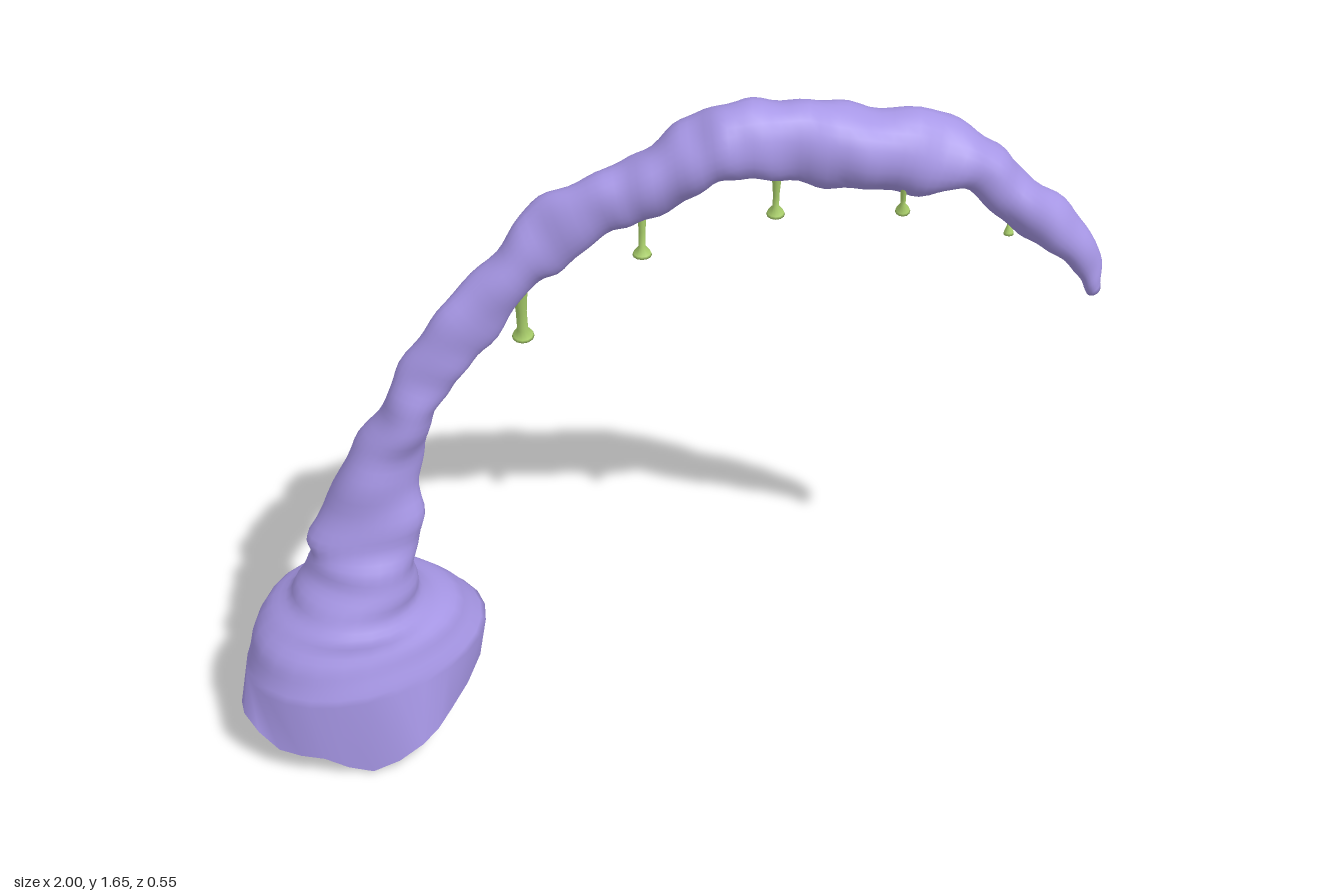
import * as THREE from 'three';

const SIDES = 26;
const RINGS = 140;
const V = (x, y, z) => new THREE.Vector3(x, y, z);

// Trunk sections: outer x,y, inner x,y, centre z, half depth
const SECTIONS = [
  [-.98, .21, -.435, .22, 0, .27],
  [-.95, .33, -.49, .31, .015, .22],
  [-.87, .41, -.56, .38, .05, .145],
  [-.82, .5, -.57, .48, .05, .105],
  [-.81, .58, -.555, .6, .035, .085],
  [-.72, .765, -.55, .75, .01, .08],
  [-.63, .9, -.51, .88, .02, .063],
  [-.575, 1.03, -.455, .98, .015, .048],
  [-.48, 1.17, -.38, 1.07, .005, .045],
  [-.36, 1.29, -.29, 1.19, -.02, .048],
  [-.27, 1.405, -.2, 1.25, -.04, .055],
  [-.14, 1.47, -.1, 1.345, -.043, .063],
  [-.03, 1.53, -.01, 1.37, -.048, .07],
  [.07, 1.605, .1, 1.44, -.052, .08],
  [.18, 1.64, .19, 1.475, -.053, .085],
  [.31, 1.63, .31, 1.44, -.09, .08],
  [.45, 1.6, .44, 1.41, -.11, .08],
  [.62, 1.565, .57, 1.385, -.14, .087],
  [.74, 1.49, .67, 1.4, -.15, .08],
  [.82, 1.41, .77, 1.3, -.153, .066],
  [.92, 1.325, .86, 1.23, -.163, .052],
  [.99, 1.21, .94, 1.16, -.172, .04],
  [1.0, 1.125, .97, 1.105, -.172, .032],
];

// Wavy open rim of the base, from +x round through +z
const RIM = [
  V(-.44, .13, -.04), V(-.5, .09, .12), V(-.56, .065, .22), V(-.68, 0, .245),
  V(-.79, .06, .27), V(-.9, .07, .25), V(-.985, .14, .2), V(-1, .1, .08),
  V(-.97, .045, -.03), V(-.89, .08, -.18), V(-.71, .15, -.275), V(-.54, .2, -.27),
  V(-.46, .17, -.17),
];

const spline = (points, closed = false) =>
  new THREE.CatmullRomCurve3(points, closed, 'catmullrom', 0.5);

function trunkGeometry() {
  const outer = spline(SECTIONS.map(s => V(s[0], s[1], s[4])));
  const inner = spline(SECTIONS.map(s => V(s[2], s[3], s[4])));
  const depth = spline(SECTIONS.map(s => V(s[5], 0, 0)));
  const rim = spline(RIM, true);
  const positions = [];
  const index = [];

  for (let j = 0; j < SIDES; j++) positions.push(...rim.getPoint(j / SIDES).toArray());
  for (let i = 0; i <= RINGS; i++) {
    const t = i / RINGS;
    const o = outer.getPoint(t), n = inner.getPoint(t), d = depth.getPoint(t).x;
    const mid = o.clone().add(n).multiplyScalar(.5);
    const half = n.clone().sub(o).multiplyScalar(.5);
    const rough = .04 * Math.min(1, t * 5);
    const skew = .28 * Math.max(0, 1 - t * 9); // skewed outline of the base
    for (let j = 0; j < SIDES; j++) {
      const a = j / SIDES * Math.PI * 2;
      // Twisting ridges and small lumps
      const k = 1 + rough * (Math.sin(3 * a + t * 38) + Math.sin(2 * a - t * 97)
        + .8 * Math.sin(a + t * 173));
      const p = mid.clone().addScaledVector(half, Math.cos(a) * k);
      const dz = Math.sin(a) * d * k;
      positions.push(p.x - skew * dz, p.y, p.z + dz);
    }
  }
  for (let i = 0; i <= RINGS; i++) {
    for (let j = 0; j < SIDES; j++) {
      const a = i * SIDES + j, b = i * SIDES + (j + 1) % SIDES;
      index.push(a, a + SIDES, b, b, a + SIDES, b + SIDES);
    }
  }
  // Closed tip
  const last = (RINGS + 1) * SIDES;
  positions.push(.985, 1.107, -.172);
  for (let j = 0; j < SIDES; j++) index.push(last + j, last + SIDES, last + (j + 1) % SIDES);

  const g = new THREE.BufferGeometry();
  g.setAttribute('position', new THREE.Float32BufferAttribute(positions, 3));
  g.setIndex(index);
  g.computeVertexNormals();
  return g;
}

// Hanging stalk: swollen root, thin stem, flared foot
function stalk(top, bottom, size, material) {
  const length = top.distanceTo(bottom);
  const foot = .026 * Math.min(1, size);
  const profile = [
    [0, 0], [foot, .003], [foot * .9, .009], [.009 * size, .026], [.009 * size, length * .3],
    [.014 * size, length * .6], [.024 * size, length * .85], [.02 * size, length], [0, length + .01],
  ].map(([r, y]) => new THREE.Vector2(r, y));
  const mesh = new THREE.Mesh(new THREE.LatheGeometry(profile, 12), material);
  mesh.position.copy(bottom);
  mesh.quaternion.setFromUnitVectors(V(0, 1, 0), top.clone().sub(bottom).normalize());
  return mesh;
}

export function createModel() {
  const model = new THREE.Group();
  model.name = 'archedTentacle';

  const purple = new THREE.MeshStandardMaterial({ color: 0xa797e6, side: THREE.DoubleSide });
  const green = new THREE.MeshStandardMaterial({ color: 0xaed46e });

  const trunk = new THREE.Mesh(trunkGeometry(), purple);
  trunk.name = 'trunk';
  model.add(trunk);

  const stalks = new THREE.Group();
  stalks.name = 'hangingStalks';
  [
    [V(-.318, 1.28, -.055), V(-.313, 1.01, -.112), 1.4],
    [V(-.04, 1.46, -.085), V(-.04, 1.235, -.1), .85],
    [V(.255, 1.53, -.07), V(.255, 1.342, -.1), .8],
    [V(.53, 1.5, -.055), V(.535, 1.352, -.1), .65],
    [V(.775, 1.38, -.14), V(.778, 1.272, -.14), .45],
  ].forEach(([top, bottom, size], i) => {
    const s = stalk(top, bottom, size, green);
    s.name = 'stalk' + (i + 1);
    stalks.add(s);
  });
  model.add(stalks);

  return model;
}
